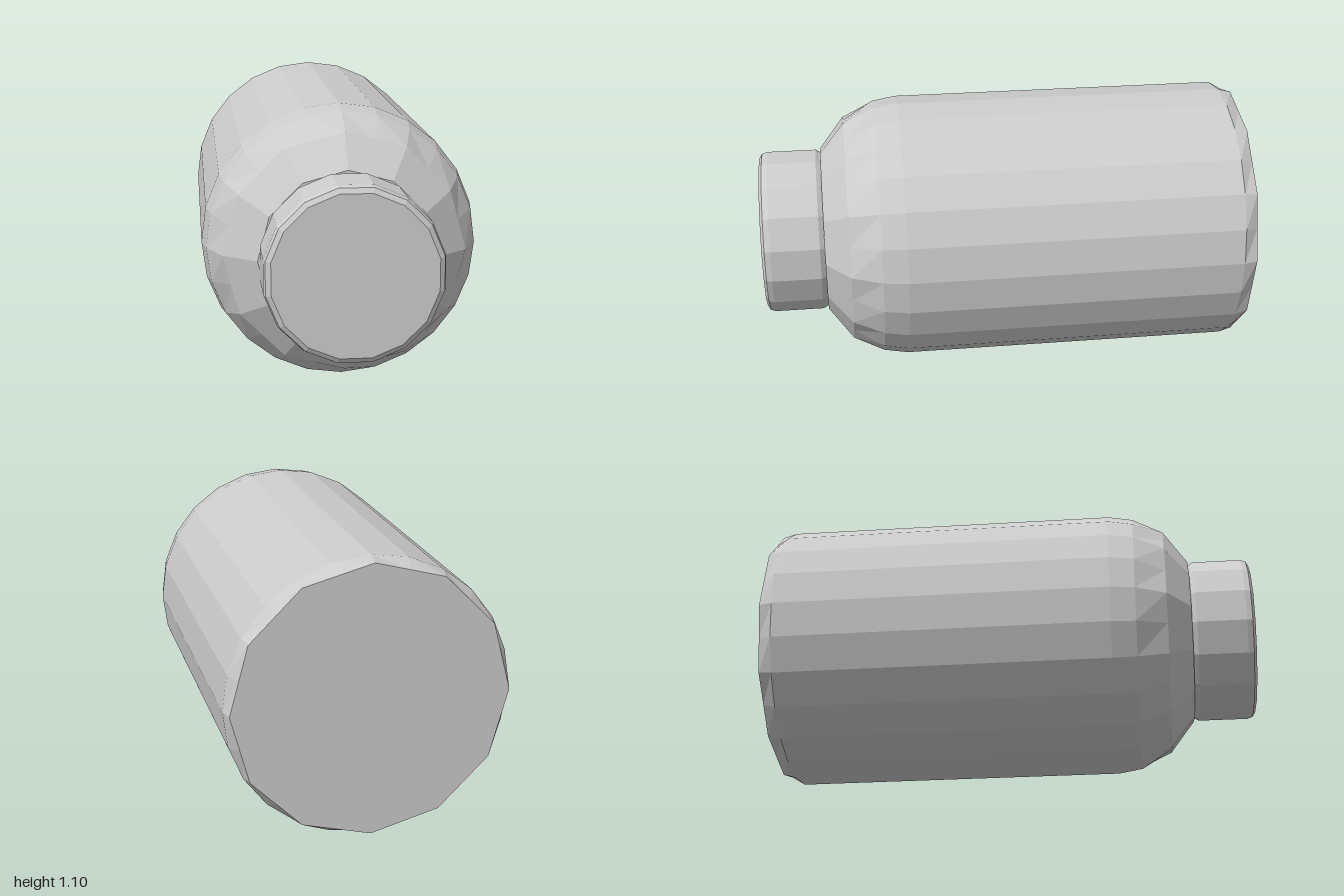
import * as THREE from 'three';

const AXIS_Y = 0.552;

// Lathe turned so that its axis runs along z; profile is [radius, z] from back to front.
// Rings listed in `coarse` get half as many sides: odd vertices move to the chord.
function turned(name, profile, sides, phase = 0, coarse = []) {
  const points = profile.map(([r, z]) => new THREE.Vector2(r, z));
  const geometry = new THREE.LatheGeometry(points, sides, phase);
  const pos = geometry.attributes.position;
  const shrink = Math.cos((2 * Math.PI) / sides);
  for (let i = 1; i < sides; i += 2) {
    for (const j of coarse) {
      const k = i * points.length + j;
      pos.setX(k, pos.getX(k) * shrink);
      pos.setZ(k, pos.getZ(k) * shrink);
    }
  }
  geometry.rotateX(Math.PI / 2);
  geometry.computeVertexNormals();
  const material = new THREE.MeshStandardMaterial({ color: 0xcccccc, flatShading: true });
  const mesh = new THREE.Mesh(geometry, material);
  mesh.name = name;
  mesh.position.y = AXIS_Y;
  return mesh;
}

export function createModel() {
  const model = new THREE.Group();
  model.name = 'bottle';

  // Cylindrical body with a chamfered base and a faceted shoulder
  const body = [
    [0, -1], [0.537, -1], [0.552, -0.945], [0.552, 0.42],
    [0.535, 0.52], [0.475, 0.645], [0.345, 0.745], [0, 0.745],
  ];
  model.add(turned('body', body, 24, 0, [1, 5, 6]));

  // Short cap with softened rims
  const cap = [
    [0, 0.735], [0.332, 0.735], [0.332, 0.748], [0.343, 0.765],
    [0.343, 0.965], [0.336, 0.988], [0.316, 1], [0, 1],
  ];
  model.add(turned('cap', cap, 16, Math.PI / 16));

  return model;
}
